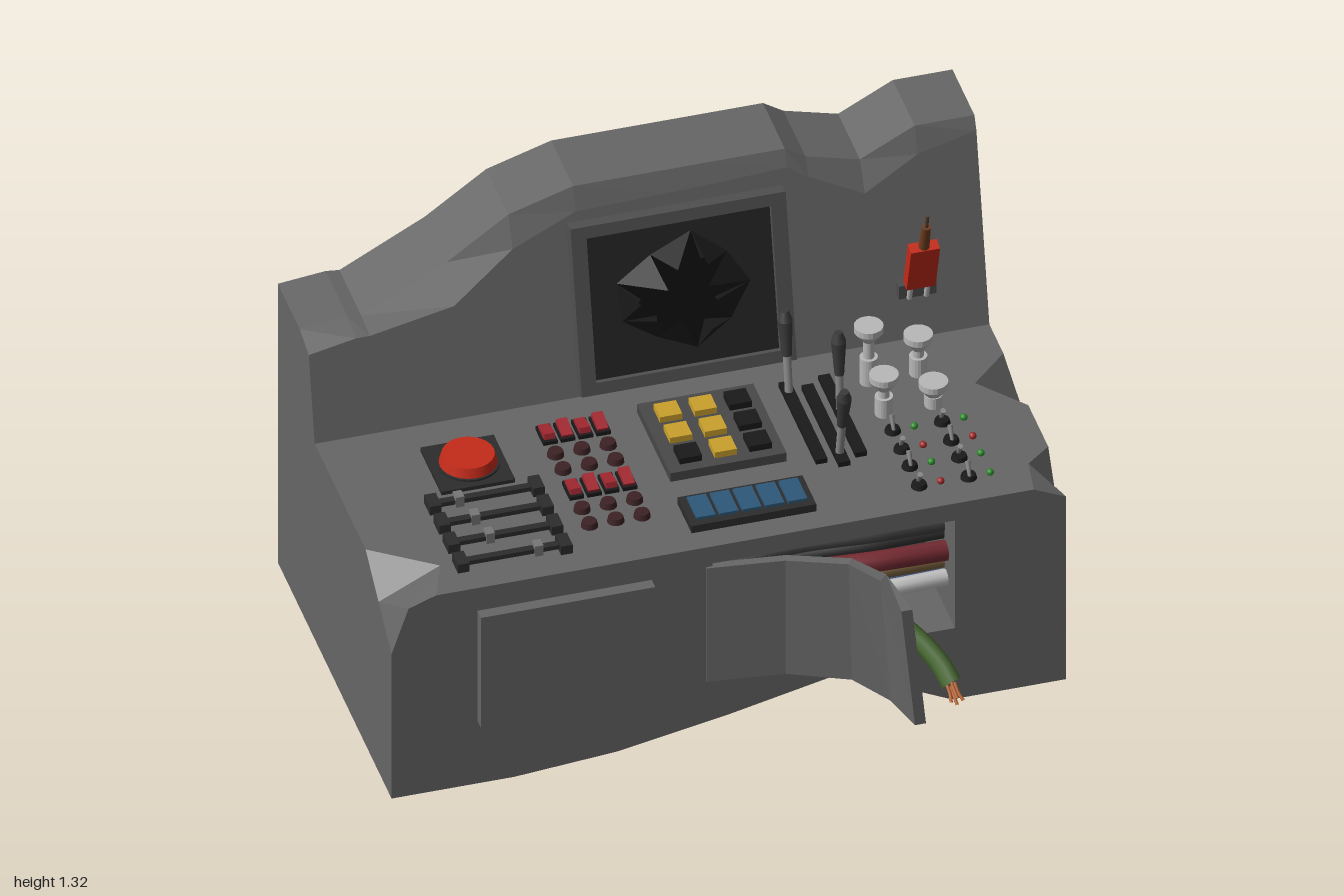
import * as THREE from 'three';
import { ConvexGeometry } from 'three/addons/geometries/ConvexGeometry.js';

const V = (x, y, z) => new THREE.Vector3(x, y, z);
const BODY = 0x666666, DARK = 0x2c2c2c, BLACK = 0x1a1a1a, RED = 0xc42a18, METAL = 0xb8b8b8, COPPER = 0xb5622d;
const DECK = 0.69;

function add(parent, name, geometry, color, x = 0, y = 0, z = 0, flat = false, side = THREE.FrontSide) {
  const mesh = new THREE.Mesh(geometry, new THREE.MeshStandardMaterial({ color, flatShading: flat, side }));
  mesh.name = name;
  mesh.position.set(x, y, z);
  parent.add(mesh);
  return mesh;
}
// box standing on y
const box = (p, name, color, w, h, d, x, y, z) => add(p, name, new THREE.BoxGeometry(w, h, d), color, x, y + h / 2, z);
// cylinder standing on y
const cyl = (p, name, color, r0, r1, h, x, y, z, n = 12) => add(p, name, new THREE.CylinderGeometry(r1, r0, h, n), color, x, y + h / 2, z);
const tube = (p, name, color, r, pts) =>
  add(p, name, new THREE.TubeGeometry(new THREE.CatmullRomCurve3(pts.map(a => V(...a))), 20, r, 8), color);

// flat-shaded loft through matching cross-sections, with end caps
function loft(sections) {
  const out = [], n = sections[0].length, last = sections[sections.length - 1];
  for (let s = 0; s < sections.length - 1; s++) {
    const a = sections[s], b = sections[s + 1];
    for (let i = 0; i < n; i++) {
      const j = (i + 1) % n;
      out.push(a[i], b[i], a[j], b[i], b[j], a[j]);
    }
  }
  for (let i = 1; i < n - 1; i++) out.push(sections[0][0], sections[0][i], sections[0][i + 1], last[0], last[i + 1], last[i]);
  const g = new THREE.BufferGeometry().setFromPoints(out);
  g.computeVertexNormals();
  return g;
}

function buildBody(root) {
  const body = new THREE.Group();
  body.name = 'consoleBody';
  root.add(body);

  // chipped ends: convex pieces between slices along z
  const end = (name, inner, slices) => {
    const rings = slices.map(([z, pts]) => [[inner, 0], [inner, DECK], ...pts].map(([x, y]) => V(x, y, z)));
    for (let i = 0; i < rings.length - 1; i++) add(body, name, new ConvexGeometry([...rings[i], ...rings[i + 1]]), BODY);
  };
  const L = [[-1, 0], [-1, DECK]], R = [[0.975, 0], [0.975, DECK]];
  end('rightEnd', -0.75, [
    [-0.72, L], [0.16, L],
    [0.29, [[-1, 0], [-1, 0.6], [-0.82, DECK]]],
    [0.42, [[-1, 0], [-1, 0.51], [-0.95, 0.66], [-0.87, DECK]]]]);
  end('leftEnd', 0.75, [
    [-0.72, R], [-0.21, R],
    [-0.1, [[0.975, 0], [0.975, 0.5], [0.998, 0.57], [0.86, DECK]]],
    [0.04, R], [0.24, R],
    [0.3, [[0.975, 0], [0.975, 0.595], [0.9, DECK]]],
    [0.42, [[0.975, 0], [0.975, 0.645], [0.88, DECK]]]]);

  // middle block, with an opening and a broken lower edge in its front part
  box(body, 'middleBlock', BODY, 1.5, DECK, 0.84, 0, 0, -0.3);
  const front = new THREE.Shape([[-0.75, 0], [-0.64, 0], [-0.34, 0.025], [-0.02, 0.085], [0.31, 0.16], [0.46, 0.09], [0.64, 0],
    [0.75, 0], [0.75, DECK], [-0.75, DECK]].map(a => new THREE.Vector2(...a)));
  front.holes.push(new THREE.Path([[-0.06, 0.25], [-0.06, 0.63], [0.65, 0.63], [0.65, 0.25]].map(a => new THREE.Vector2(...a))));
  const g = new THREE.ExtrudeGeometry(front, { depth: 0.3, bevelEnabled: false });
  const p = g.attributes.position;
  for (let i = 0; i < p.count; i++) if (p.getZ(i) < 0.01 && p.getY(i) < 0.2) p.setY(i, 0);
  g.computeVertexNormals();
  add(body, 'frontBlock', g, BODY, 0, 0, 0.12);

  // broken back wall: x, top height, lower edge of the bevel
  const wall = [[-1, 0.985, 0.96], [-0.86, 1.0, 0.985], [-0.82, 0.995, 0.985], [-0.57, 1.13, 1.03], [-0.39, 1.26, 1.17],
    [-0.2, 1.32, 1.25], [0.2, 1.32, 1.26], [0.42, 1.32, 1.27], [0.48, 1.28, 1.23], [0.64, 1.235, 1.15], [0.8, 1.32, 1.24],
    [0.975, 1.32, 1.28]];
  add(body, 'backWall', loft(wall.map(([x, top, low]) => [V(x, DECK, -0.35), V(x, low, -0.35 - (low - DECK) * 0.22),
    V(x, top, -0.5), V(x, top, -0.72), V(x, DECK, -0.72)])), BODY);

  box(body, 'frontPanel', BODY, 0.51, 0.39, 0.035, -0.493, 0.22, 0.4375);

  // bent door: x, z, bottom, top, lean of the lower edge
  const door = [[-0.08, 0.425, 0.22, 0.62, 0], [0.14, 0.465, 0.23, 0.63, 0], [0.3, 0.55, 0.235, 0.645, 0.01], [0.37, 0.63, 0.2, 0.63, 0.03],
    [0.405, 0.72, 0.17, 0.58, 0.04]];
  add(body, 'bentDoor', loft(door.map(([x, z, lo, hi, lean], i) => {
    const dx = 0.008 * i, dz = i === 4 ? 0 : -0.025;
    return [V(x + lean, lo, z), V(x, hi, z), V(x + dx, hi, z + dz), V(x + lean + dx, lo, z + dz)];
  })), BODY);
}

function buildCables(root) {
  const cables = new THREE.Group();
  cables.name = 'cables';
  root.add(cables);
  const runs = [[0x555555, 0.54, 0.58, 0.028], [0x444444, 0.56, 0.53, 0.025], [0x7a2d35, 0.49, 0.46, 0.03], [0x5a3a66, 0.44, 0.41, 0.022],
    [0x7d6440, 0.42, 0.4, 0.022], [0xcccccc, 0.38, 0.365, 0.025], [0x40557d, 0.35, 0.33, 0.026], [0x333333, 0.52, 0.5, 0.02]];
  runs.forEach(([color, y0, y1, r], i) => {
    const z = 0.28 + 0.035 * (i % 3);
    tube(cables, 'innerCable', color, r, [[-0.04, y0 - 0.03, z], [0.2, y0, z], [0.45, (y0 + y1) / 2 + 0.02, z + 0.02], [0.65, y1, z - 0.02]]);
  });
  tube(cables, 'looseCable', 0x46682f, 0.03, [[0.2, 0.36, 0.33], [0.42, 0.345, 0.39], [0.51, 0.29, 0.46], [0.57, 0.23, 0.54], [0.59, 0.19, 0.59]]);
  for (let i = 0; i < 4; i++) {
    const dx = 0.012 * Math.cos(i * 1.57), dy = 0.012 * Math.sin(i * 1.57);
    tube(cables, 'copperStrand', COPPER, 0.005, [[0.588 + dx, 0.19 + dy, 0.585], [0.592 + dx, 0.17 + dy, 0.61], [0.595 + dx * 1.5, 0.155 + dy, 0.63]]);
  }
}

function buildMonitor(root) {
  const m = new THREE.Group();
  m.name = 'brokenMonitor';
  m.position.set(0.085, 0.965, -0.405);
  m.rotation.x = -0.217;
  root.add(m);
  const rect = (C, w, h) => new C([[-w, -h], [w, -h], [w, h], [-w, h]].map(([x, y]) => new THREE.Vector2(x, y)));
  const frame = rect(THREE.Shape, 0.315, 0.262);
  frame.holes.push(rect(THREE.Path, 0.27, 0.225));
  add(m, 'monitorFrame', new THREE.ExtrudeGeometry(frame, { depth: 0.05, bevelEnabled: false }), 0x505050, 0, 0, -0.01);
  // screen with a jagged hole and shards bent outwards
  const tips = [0.2, 0.1, 0.18, 0.12, 0.21, 0.11, 0.17, 0.1, 0.2, 0.12, 0.19, 0.1, 0.16, 0.11, 0.2, 0.12, 0.18, 0.1];
  const ring = tips.map((r, i) => {
    const a = i / tips.length * Math.PI * 2;
    return new THREE.Vector2(r * Math.cos(a), r * Math.sin(a) * 0.9);
  });
  const screen = rect(THREE.Shape, 0.27, 0.225);
  screen.holes.push(new THREE.Path(ring));
  add(m, 'screenGlass', new THREE.ShapeGeometry(screen), 0x242424, 0, 0, 0.022, false, THREE.DoubleSide);
  box(m, 'screenBacking', 0x0e0e0e, 0.54, 0.45, 0.01, 0, -0.225, 0.002);
  const pts = [];
  for (let i = 0; i < ring.length; i += 2) {
    const a = ring[i], b = ring[i + 1], c = ring[(i + 2) % ring.length], k = 0.6 + 0.15 * (i % 3);
    pts.push(V(a.x, a.y, 0.022), V(c.x, c.y, 0.022), V(b.x * k * 1.2, b.y * k * 1.2, 0.06 + 0.012 * (i % 4)));
  }
  const shards = new THREE.BufferGeometry().setFromPoints(pts);
  shards.computeVertexNormals();
  add(m, 'screenShards', shards, BLACK, 0, 0, 0, true, THREE.DoubleSide);
}

function buildControls(root) {
  const c = new THREE.Group();
  c.name = 'controls';
  root.add(c);

  // big red button
  box(c, 'buttonPlate', DARK, 0.215, 0.012, 0.215, -0.617, DECK, -0.128);
  cyl(c, 'buttonCollar', DARK, 0.09, 0.09, 0.018, -0.615, DECK, -0.13, 24);
  cyl(c, 'redButton', RED, 0.085, 0.075, 0.035, -0.615, DECK + 0.012, -0.13, 24);

  // sliders
  [[0.03, -0.69], [0.122, -0.67], [0.216, -0.655], [0.31, -0.54]].forEach(([z, x]) => {
    for (const ex of [-0.765, -0.463]) box(c, 'sliderEnd', DARK, 0.034, 0.03, 0.06, ex, DECK, z);
    box(c, 'sliderRail', DARK, 0.28, 0.014, 0.022, -0.614, DECK + 0.008, z);
    box(c, 'sliderKnob', 0x777777, 0.025, 0.035, 0.032, x, DECK, z);
  });

  // red rocker switches and dark red knobs
  for (const z of [-0.2, 0.065]) {
    for (let i = 0; i < 4; i++) {
      box(c, 'switchBase', BLACK, 0.042, 0.012, 0.08, -0.365 + i * 0.052, DECK, z);
      box(c, 'redSwitch', 0xa32830, 0.032, 0.018, 0.065, -0.365 + i * 0.052, DECK + 0.008, z).rotation.x = i % 2 ? 0.2 : -0.2;
    }
    for (let i = 0; i < 6; i++)
      cyl(c, 'roundKnob', 0x3c2225, 0.025, 0.021, 0.018, -0.365 + (i % 3) * 0.077, DECK, z + 0.09 + Math.floor(i / 3) * 0.075);
  }

  // keypad and row of blue keys
  box(c, 'keypadBase', 0x484848, 0.34, 0.03, 0.335, 0.08, DECK, -0.068);
  for (let i = 0; i < 9; i++) {
    const black = i % 3 === 2 || i === 6;
    box(c, 'keypadKey', black ? BLACK : 0xc9a02c, 0.065, 0.02, 0.065, -0.02 + (i % 3) * 0.102, DECK + 0.03, -0.165 + Math.floor(i / 3) * 0.1);
  }
  box(c, 'blueKeyBase', DARK, 0.365, 0.025, 0.14, 0.083, DECK, 0.275);
  for (let i = 0; i < 5; i++) box(c, 'blueKey', 0x2d5878, 0.056, 0.012, 0.1, -0.05 + i * 0.067, DECK + 0.022, 0.272);

  // levers in slots
  [[0.342, -0.19, -0.17, -0.05], [0.4, 0.115, 0.2, -0.02], [0.458, -0.075, -0.07, -0.05]].forEach(([x, z, tilt, mid]) => {
    box(c, 'leverSlot', BLACK, 0.034, 0.016, 0.375, x, DECK, mid);
    const lever = new THREE.Group();
    lever.name = 'lever';
    lever.position.set(x, DECK, z);
    lever.rotation.x = tilt;
    c.add(lever);
    cyl(lever, 'leverRod', 0x8a8a8a, 0.012, 0.012, 0.14, 0, 0, 0);
    cyl(lever, 'leverGrip', 0x3a3a3a, 0.014, 0.022, 0.11, 0, 0.13, 0);
    cyl(lever, 'leverTip', 0x3a3a3a, 0.022, 0.012, 0.03, 0, 0.24, 0);
  });

  // plungers
  [[0.575, -0.19, 0.2], [0.72, -0.19, 0.14], [0.575, -0.037, 0.14], [0.72, -0.037, 0.085]].forEach(([x, z, h]) => {
    const profile = [[0.026, 0], [0.026, h * 0.45], [0.016, h * 0.45], [0.016, h - 0.055], [0.042, h - 0.02], [0.042, h], [0, h]];
    add(c, 'plunger', new THREE.LatheGeometry(profile.map(a => new THREE.Vector2(...a)), 20), METAL, x, DECK, z, true);
  });

  // toggles with indicator lamps
  const lamps = ['grgr', 'grgg'];
  [0.575, 0.72].forEach((x, col) => [0.05, 0.14, 0.222, 0.315].forEach((z, row) => {
    cyl(c, 'toggleBase', BLACK, 0.024, 0.02, 0.014, x, DECK, z);
    cyl(c, 'toggleStick', 0x888888, 0.005, 0.008, 0.045, x, DECK + 0.008, z).rotation.x = (row + col) % 2 ? 0.5 : -0.5;
    add(c, 'lamp', new THREE.SphereGeometry(0.011, 10, 8), lamps[col][row] === 'g' ? 0x2a8a2a : 0xa02828, x + 0.063, DECK + 0.006, z);
  }));
}

function buildHandle(root) {
  // red handle with a torn copper lead, leaning out of its wall bracket
  const h = new THREE.Group();
  h.name = 'redHandle';
  h.position.set(0.767, 0.83, -0.355);
  h.rotation.x = 0.27;
  root.add(h);
  box(h, 'handleGrip', RED, 0.085, 0.17, 0.035, 0, 0.06, 0);
  for (const x of [-0.025, 0.025]) cyl(h, 'handlePin', METAL, 0.008, 0.008, 0.07, x, 0, 0);
  cyl(h, 'leadSleeve', 0x6e3d1e, 0.016, 0.013, 0.09, 0, 0.23, 0);
  cyl(h, 'leadWire', 0x5a4030, 0.006, 0.005, 0.055, 0, 0.315, 0);
  box(root, 'handleBracket', 0x4c4c4c, 0.11, 0.045, 0.04, 0.767, 0.83, -0.375);
}

export function createModel() {
  const root = new THREE.Group();
  root.name = 'brokenControlConsole';
  [buildBody, buildCables, buildMonitor, buildControls, buildHandle].forEach(build => build(root));
  return root;
}
